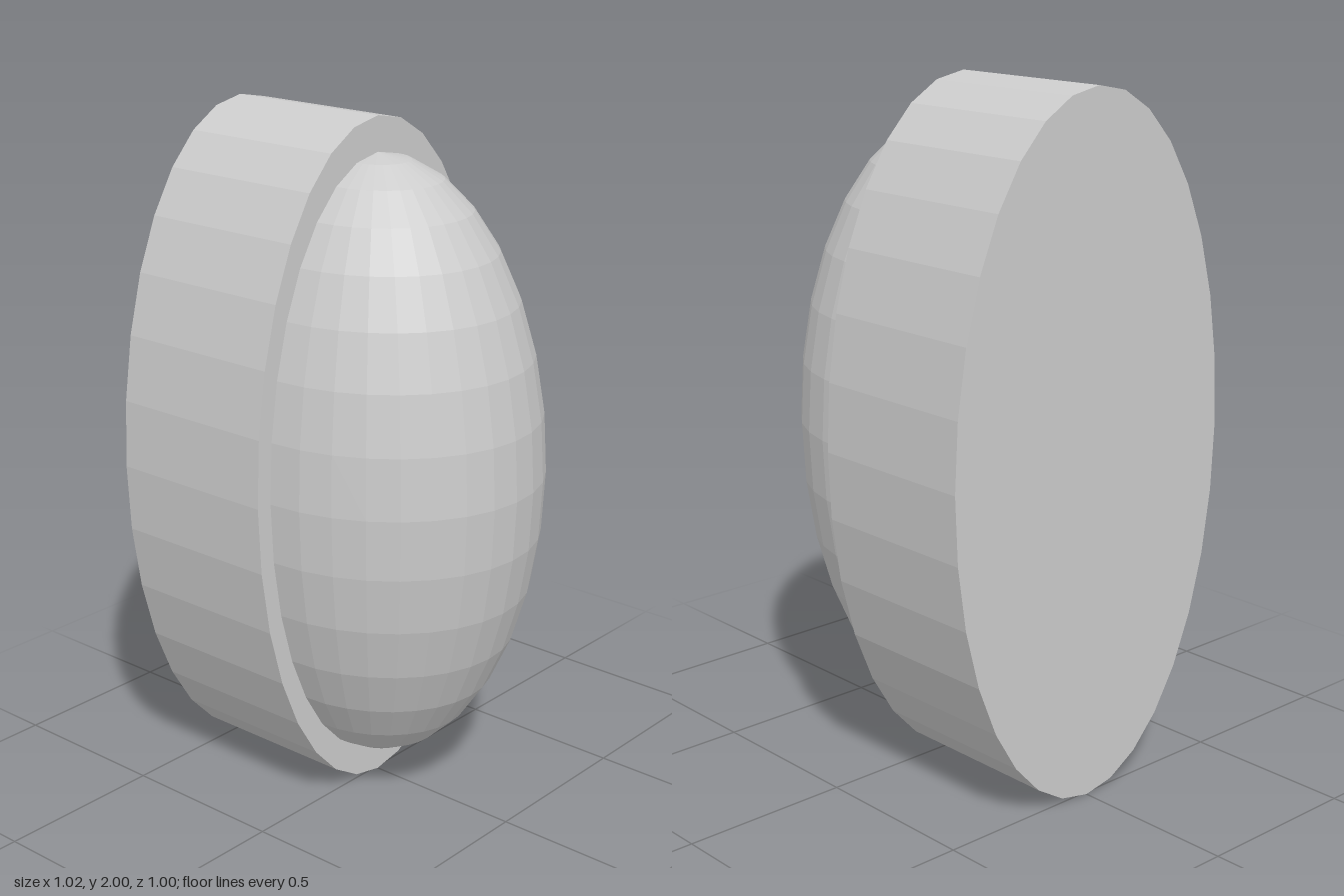
import * as THREE from 'three';

export function createModel() {
  const model = new THREE.Group();
  const grey = new THREE.MeshStandardMaterial({ color: 0xcccccc });
  grey.name = 'light grey';
  grey.flatShading = true;

  // Elliptical drum lying along x
  const drum = new THREE.CylinderGeometry(1, 1, 0.52, 32);
  drum.rotateZ(Math.PI / 2);
  drum.scale(1, 1, 0.5);
  const base = new THREE.Mesh(drum, grey);
  base.name = 'base';
  base.position.set(-0.25, 1, 0);
  model.add(base);

  // Half ellipsoid bulging from the drum's +x face
  const bulge = new THREE.SphereGeometry(1, 16, 16, Math.PI / 2, Math.PI);
  bulge.scale(0.5, 0.9, 0.45);
  const dome = new THREE.Mesh(bulge, grey);
  dome.name = 'dome';
  dome.position.set(0.01, 1, 0);
  model.add(dome);

  return model;
}
